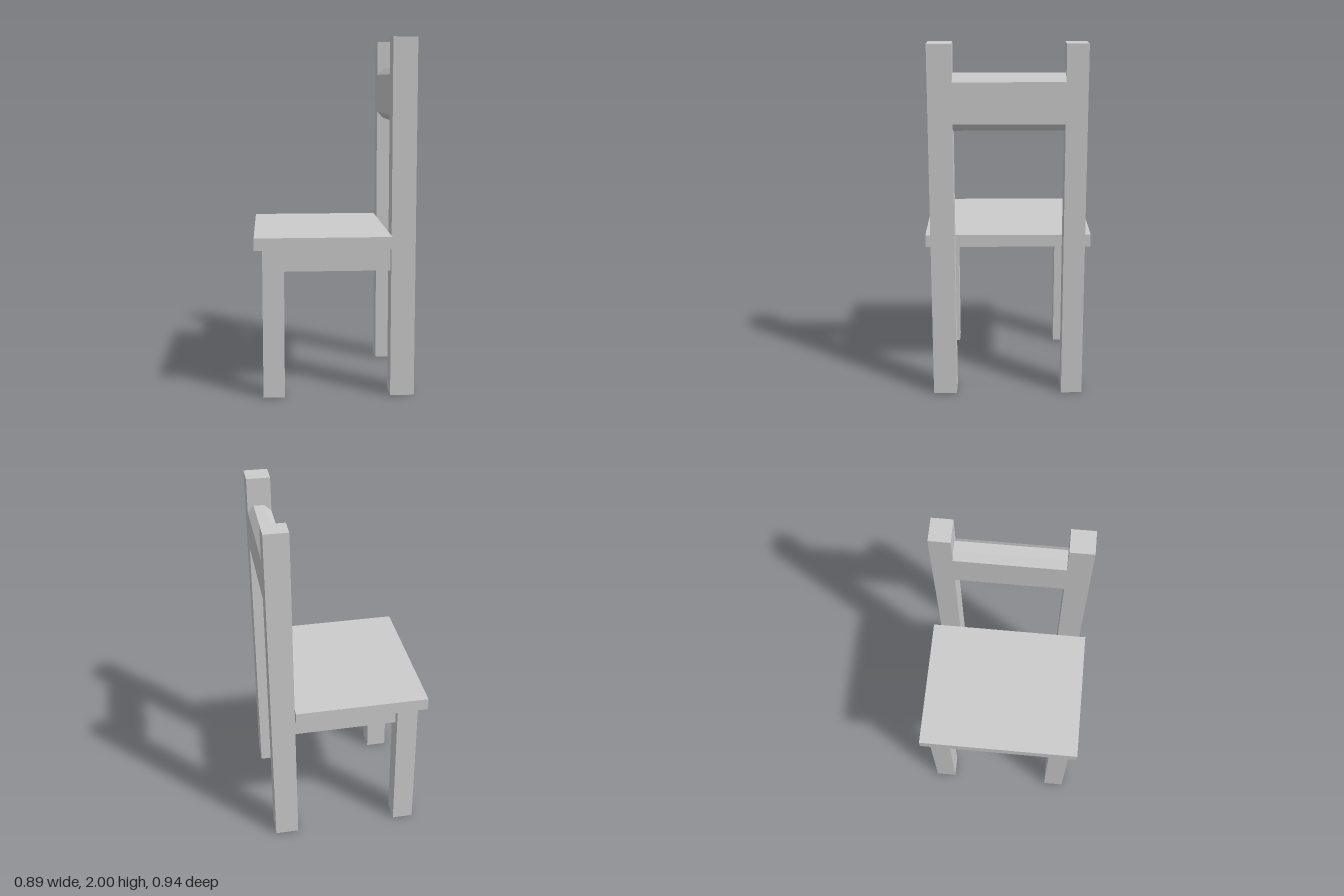
import * as THREE from 'three';

const material = new THREE.MeshStandardMaterial({
  color: 0xcccccc, flatShading: true, side: THREE.DoubleSide,
});

// Box given by its minimum and maximum on each axis
function block(name, [x0, x1], [y0, y1], [z0, z1], openBottom = false) {
  const geometry = new THREE.BoxGeometry(x1 - x0, y1 - y0, z1 - z0);
  if (openBottom) {
    const index = Array.from(geometry.index.array);
    index.splice(18, 6); // the downward face
    geometry.setIndex(index);
    geometry.clearGroups();
  }
  geometry.translate((x0 + x1) / 2, (y0 + y1) / 2, (z0 + z1) / 2);
  const mesh = new THREE.Mesh(geometry, material);
  mesh.name = name;
  return mesh;
}

export function createModel() {
  const chair = new THREE.Group();
  chair.name = 'chair';

  // Seat board
  chair.add(block('seat', [-0.45, 0.31], [0.845, 0.915], [-0.47, 0.465]));

  // Hollow legs: tall back posts and short front legs
  const postZ = [[0.295, 0.427], [-0.425, -0.307]];
  const legZ = [[0.303, 0.423], [-0.425, -0.305]];
  postZ.forEach((z) => chair.add(block('backPost', [0.31, 0.445], [0, 2], z, true)));
  legZ.forEach((z) => chair.add(block('frontLeg', [-0.405, -0.285], [0, 0.845], z, true)));

  // Rails under the seat: two sides and the front, open at the back
  for (const z of [[0.345, 0.385], [-0.385, -0.345]]) {
    chair.add(block('sideRail', [-0.285, 0.31], [0.712, 0.845], z));
  }
  chair.add(block('frontRail', [-0.365, -0.325], [0.712, 0.845], [-0.305, 0.303]));

  // Backrest plank with chamfered long edges, spanning the posts
  const profile = new THREE.Shape([
    [0.35, 1.535], [0.41, 1.535], [0.445, 1.575], [0.445, 1.8],
    [0.41, 1.838], [0.35, 1.838], [0.31, 1.8], [0.31, 1.575],
  ].map(([x, y]) => new THREE.Vector2(x, y)));
  const plank = new THREE.ExtrudeGeometry(profile, { depth: 0.602, bevelEnabled: false });
  plank.translate(0, 0, -0.307);
  const backrest = new THREE.Mesh(plank, material);
  backrest.name = 'backrest';
  chair.add(backrest);

  return chair;
}
